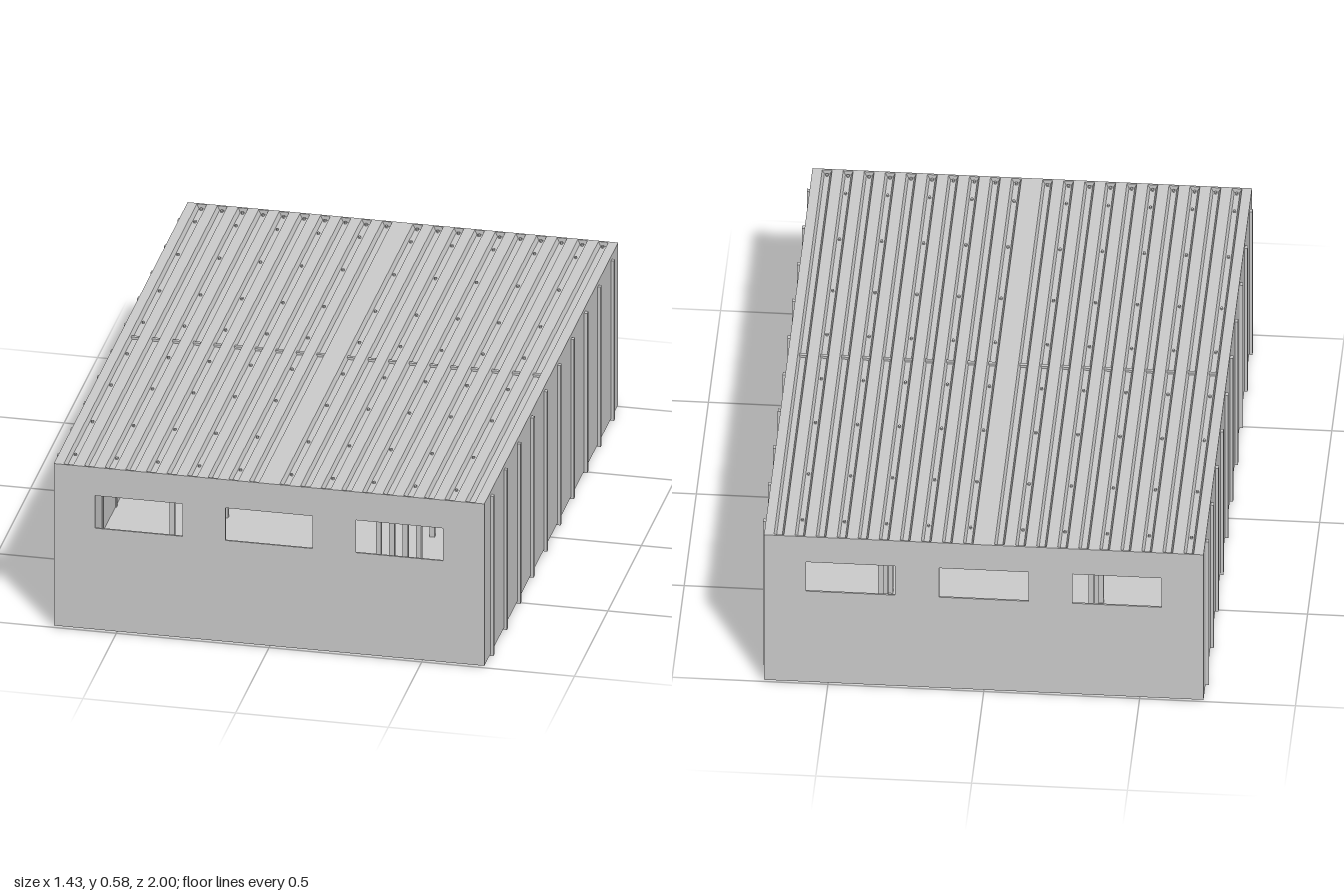
import * as THREE from 'three';

const W = 0.705, D = 1, BASE = 0.007, TOP = 0.58, T = 0.006;
const mat = new THREE.MeshStandardMaterial({ color: 0xcccccc, flatShading: true });
const sheetMat = new THREE.MeshStandardMaterial({ color: 0xcccccc, flatShading: true, side: THREE.DoubleSide });

function add(parent, name, geo, x = 0, y = 0, z = 0, material = mat) {
  const m = new THREE.Mesh(geo, material);
  m.name = name;
  m.position.set(x, y, z);
  parent.add(m);
  return m;
}
const box = (w, h, d) => new THREE.BoxGeometry(w, h, d);

// End wall with three wide window openings
function endWallGeometry() {
  const s = new THREE.Shape();
  s.moveTo(-W, BASE).lineTo(W, BASE).lineTo(W, TOP).lineTo(-W, TOP).closePath();
  for (const x of [-0.427, 0, 0.427]) {
    const h = new THREE.Path();
    h.moveTo(x - 0.143, 0.365).lineTo(x - 0.143, 0.48).lineTo(x + 0.143, 0.48).lineTo(x + 0.143, 0.365).closePath();
    s.holes.push(h);
  }
  return new THREE.ExtrudeGeometry(s, { depth: T, bevelEnabled: false });
}

// Trapezoid roof sheet: flat ridges with sunken channels, swept along z
function roofGeometry(channels, depth) {
  const pts = [[-W + T, TOP]];
  for (const c of channels) {
    pts.push([c - 0.016, TOP], [c - 0.009, TOP - depth], [c + 0.009, TOP - depth], [c + 0.016, TOP]);
  }
  pts.push([W - T, TOP]);
  const pos = [], idx = [];
  pts.forEach(([x, y], i) => {
    pos.push(x, y, -D + T / 2, x, y, D - T / 2);
    if (i) {
      const a = 2 * i - 2;
      idx.push(a, a + 1, a + 3, a, a + 3, a + 2);
    }
  });
  const g = new THREE.BufferGeometry();
  g.setAttribute('position', new THREE.Float32BufferAttribute(pos, 3));
  g.setIndex(idx);
  const flat = g.toNonIndexed();
  flat.computeVertexNormals();
  return flat;
}

// Lattice truss across the hall
function makeTruss() {
  const g = new THREE.Group();
  g.name = 'roofTruss';
  const lo = 0.49, hi = 0.556, n = 20, span = 2 * (W - T);
  add(g, 'bottomChord', box(span, 0.01, 0.01), 0, lo);
  add(g, 'topChord', box(span, 0.01, 0.01), 0, hi);
  const step = span / n, rise = hi - lo;
  for (let i = 0; i < n; i++) {
    const web = add(g, 'trussWeb', box(Math.hypot(step, rise), 0.006, 0.006), -span / 2 + (i + 0.5) * step, (lo + hi) / 2);
    web.rotation.z = Math.atan2(rise, step) * (i % 2 ? -1 : 1);
  }
  return g;
}

export function createModel() {
  const hall = new THREE.Group();
  hall.name = 'hall';

  // Shell
  add(hall, 'floor', box(2 * W, T, 2 * D), 0, BASE + T / 2);
  const wall = endWallGeometry();
  add(hall, 'frontWall', wall, 0, 0, D - T);
  add(hall, 'backWall', wall, 0, 0, -D);
  for (const s of [-1, 1]) {
    add(hall, 'sideWall', box(T, TOP - BASE, 2 * D - 2 * T), s * (W - T / 2), (TOP + BASE) / 2);
  }

  // Roof: ten channels on each side of a wider centre ridge
  const channels = [];
  for (let i = 9; i >= 0; i--) channels.push(-0.05 - i * 0.0675);
  for (let i = 0; i < 10; i++) channels.push(0.05 + i * 0.0675);
  const depth = 0.016;
  add(hall, 'roofSheet', roofGeometry(channels, depth), 0, 0, 0, sheetMat);

  // Joint plates at mid length and fixing bolts in the channels
  const joint = box(0.024, 0.008, 0.012), bolt = new THREE.CylinderGeometry(0.005, 0.005, 0.006, 6);
  channels.forEach((x, i) => {
    add(hall, 'sheetJoint', joint, x, TOP - depth + 0.004, 0);
    for (const s of [-1, 1]) {
      add(hall, 'endBolt', bolt, x, TOP - depth + 0.003, s * 0.985);
      if (i % 2 === 0) {
        for (const z of [0.12, 0.36, 0.64, 0.89]) add(hall, 'roofBolt', bolt, x, TOP - depth + 0.003, s * z);
      }
    }
  });

  // Frames: outer posts through the side walls, inner posts and a truss
  const outer = box(0.02, 0.565, 0.016), inner = box(0.017, 0.49, 0.016);
  for (let i = 0; i < 10; i++) {
    const z = -0.9 + i * 0.2;
    for (const s of [-1, 1]) {
      add(hall, 'wallPost', outer, s * W, 0.2825, z);
      add(hall, 'innerPost', inner, s * 0.338, 0.245, z);
    }
    const truss = makeTruss();
    truss.position.z = z;
    hall.add(truss);
  }

  // Purlins carrying the roof sheet
  for (const x of [-0.52, -0.338, -0.17, 0, 0.17, 0.338, 0.52]) {
    add(hall, 'purlin', box(0.01, 0.008, 2 * D - 2 * T), x, 0.557);
  }

  // Hanging lamps: rod, shallow shade and lens
  const shade = new THREE.CylinderGeometry(0.02, 0.048, 0.018, 16, 1, true);
  const lens = new THREE.CylinderGeometry(0.048, 0.026, 0.008, 16);
  const rod = new THREE.CylinderGeometry(0.003, 0.003, 0.07, 6);
  for (const x of [-0.485, 0, 0.485]) {
    for (const z of [-0.8, -0.4, 0, 0.4, 0.8]) {
      const lamp = new THREE.Group();
      lamp.name = 'lamp';
      lamp.position.set(x, 0, z);
      add(lamp, 'lampShade', shade, 0, 0.481, 0, sheetMat);
      add(lamp, 'lampLens', lens, 0, 0.468, 0);
      add(lamp, 'lampRod', rod, 0, 0.523, 0);
      hall.add(lamp);
    }
  }
  return hall;
}
